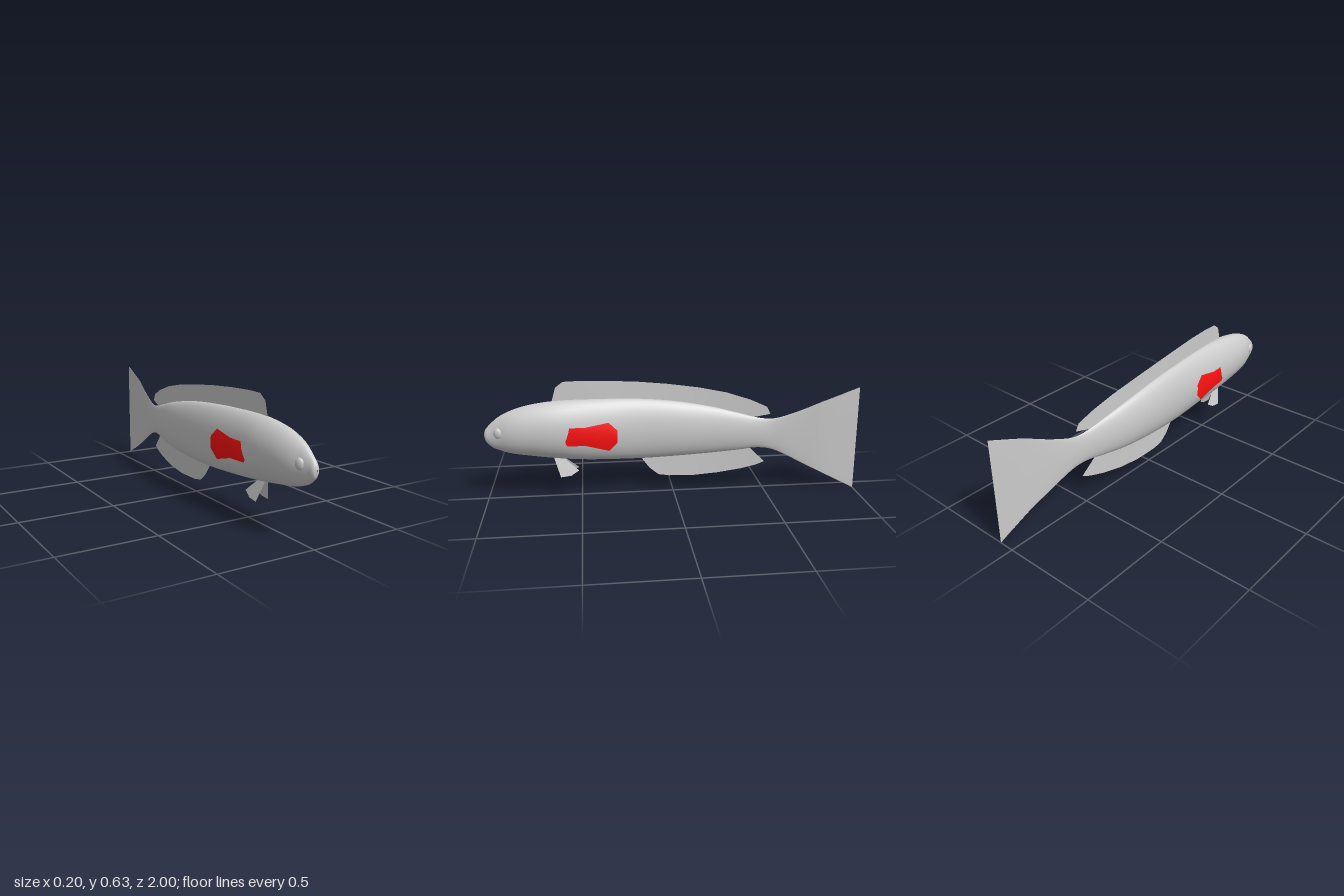
import * as THREE from 'three';

const grey = new THREE.MeshStandardMaterial({ color: 0xcccccc });
const finGrey = new THREE.MeshStandardMaterial({ color: 0xcccccc, side: THREE.DoubleSide });
const finRed = new THREE.MeshStandardMaterial({ color: 0xff1111, side: THREE.DoubleSide });

// Body stations: z, top y, bottom y, spine x, half width
const stations = [
  [1.0, 0.365, 0.355, 0, 0.002], [0.99, 0.393, 0.322, 0, 0.018], [0.96, 0.425, 0.293, 0, 0.027],
  [0.92, 0.458, 0.274, 0, 0.041], [0.86, 0.488, 0.255, 0, 0.063], [0.77, 0.515, 0.24, 0, 0.079],
  [0.63, 0.534, 0.22, 0, 0.087], [0.45, 0.537, 0.203, -0.004, 0.077], [0.2, 0.529, 0.193, -0.019, 0.064],
  [0, 0.51, 0.197, -0.023, 0.059], [-0.2, 0.475, 0.208, -0.02, 0.047], [-0.36, 0.435, 0.225, -0.004, 0.031],
  [-0.46, 0.41, 0.238, 0.008, 0.02], [-0.54, 0.404, 0.23, 0.02, 0.011], [-0.62, 0.425, 0.197, 0.034, 0.007],
  [-0.72, 0.465, 0.146, 0.051, 0.004], [-0.82, 0.51, 0.096, 0.067, 0.0015], [-1.0, 0.58, 0.004, 0.08, 0.001],
];
const heights = new THREE.CatmullRomCurve3(stations.map(s => new THREE.Vector3(s[0], s[1], s[2])), false, 'catmullrom');
const widths = new THREE.CatmullRomCurve3(stations.map(s => new THREE.Vector3(s[0], s[3], s[4])), false, 'catmullrom');

// Sideways bend of the spine at a given z
function spineX(z) {
  for (let i = 1; i < stations.length; i++) {
    const a = stations[i - 1], b = stations[i];
    if (z >= b[0]) return THREE.MathUtils.mapLinear(z, a[0], b[0], a[3], b[3]);
  }
  return 0.08;
}

function makeGeometry(positions, index) {
  const g = new THREE.BufferGeometry();
  g.setAttribute('position', new THREE.Float32BufferAttribute(positions, 3));
  g.setIndex(index);
  g.computeVertexNormals();
  return g;
}

// Body and tail lofted as one skin
function bodyGeometry() {
  const rings = 85, sides = 36, pos = [], index = [];
  for (let i = 0; i <= rings; i++) {
    const h = heights.getPoint(i / rings), w = widths.getPoint(i / rings);
    const mid = (h.y + h.z) / 2, half = (h.y - h.z) / 2;
    for (let j = 0; j < sides; j++) {
      const a = j / sides * Math.PI * 2, s = Math.sin(a);
      const x = Math.sign(s) * Math.pow(Math.abs(s), 1.15) * Math.max(w.z, 0.001);
      pos.push(w.y + x, mid + half * Math.cos(a), h.x);
      if (i === rings) continue;
      const p = i * sides + j, q = i * sides + (j + 1) % sides;
      index.push(p, q, p + sides, q, q + sides, p + sides);
    }
  }
  return makeGeometry(pos, index);
}

// Thin fin from pairs of edge points [z, y, z, y], with x given by a rule
function finGeometry(rows, xAt, steps = 3) {
  const pos = [], index = [];
  rows.forEach(([z0, y0, z1, y1], i) => {
    for (let j = 0; j <= steps; j++) {
      const t = j / steps;
      const z = THREE.MathUtils.lerp(z0, z1, t), y = THREE.MathUtils.lerp(y0, y1, t);
      pos.push(xAt(z, y), y, z);
      if (i === rows.length - 1 || j === steps) continue;
      const p = i * (steps + 1) + j, q = p + steps + 1;
      index.push(p, q, p + 1, q, q + 1, p + 1);
    }
  });
  return makeGeometry(pos, index);
}

export function createModel() {
  const model = new THREE.Group();
  const add = (name, geometry, material) => {
    const mesh = new THREE.Mesh(geometry, material);
    mesh.name = name;
    model.add(mesh);
    return mesh;
  };

  add('bodyAndTail', bodyGeometry(), grey);

  // Long fins follow the bend of the spine
  add('dorsalFin', finGeometry([
    [0.64, 0.5, 0.64, 0.535], [0.62, 0.5, 0.62, 0.605], [0.58, 0.5, 0.58, 0.635], [0.5, 0.5, 0.5, 0.637],
    [0.35, 0.5, 0.35, 0.632], [0.2, 0.5, 0.19, 0.621], [0.05, 0.48, 0.03, 0.604], [-0.1, 0.46, -0.14, 0.58],
    [-0.22, 0.44, -0.29, 0.55], [-0.32, 0.42, -0.42, 0.51], [-0.38, 0.405, -0.51, 0.47], [-0.41, 0.405, -0.53, 0.43],
  ], spineX), finGrey);
  add('analFin', finGeometry([
    [0.18, 0.22, 0.17, 0.19], [0.15, 0.22, 0.13, 0.135], [0.12, 0.22, 0.08, 0.093], [0.05, 0.22, 0.02, 0.083],
    [-0.07, 0.22, -0.12, 0.08], [-0.18, 0.23, -0.25, 0.092], [-0.29, 0.24, -0.38, 0.115],
    [-0.36, 0.245, -0.46, 0.137], [-0.41, 0.25, -0.505, 0.157],
  ], spineX), finGrey);

  // Paired parts on both flanks
  for (const [side, s] of [['left', 1], ['right', -1]]) {
    add(side + 'PectoralFin', finGeometry([
      [0.575, 0.32, 0.575, 0.395], [0.565, 0.308, 0.565, 0.405], [0.47, 0.31, 0.47, 0.41],
      [0.35, 0.278, 0.35, 0.432], [0.305, 0.325, 0.305, 0.39],
    ], (z, y) => {
      const out = 0.082 + 0.018 * Math.min(1, (0.575 - z) / 0.13);
      return s * (out - 1.6 * (y - 0.355) ** 2);
    }, 6), finRed);

    add(side + 'PelvicFin', finGeometry([
      [0.645, 0.23, 0.61, 0.12], [0.63, 0.23, 0.555, 0.126], [0.6, 0.23, 0.512, 0.152],
    ], (z, y) => s * (0.006 + 0.28 * (0.23 - y))), finGrey);

    const eye = add(side + 'Eye', new THREE.SphereGeometry(1, 20, 14), grey);
    eye.scale.set(0.012, 0.028, 0.022);
    eye.position.set(s * 0.037, 0.378, 0.925);
    eye.rotation.y = -s * 0.35;
  }
  return model;
}
